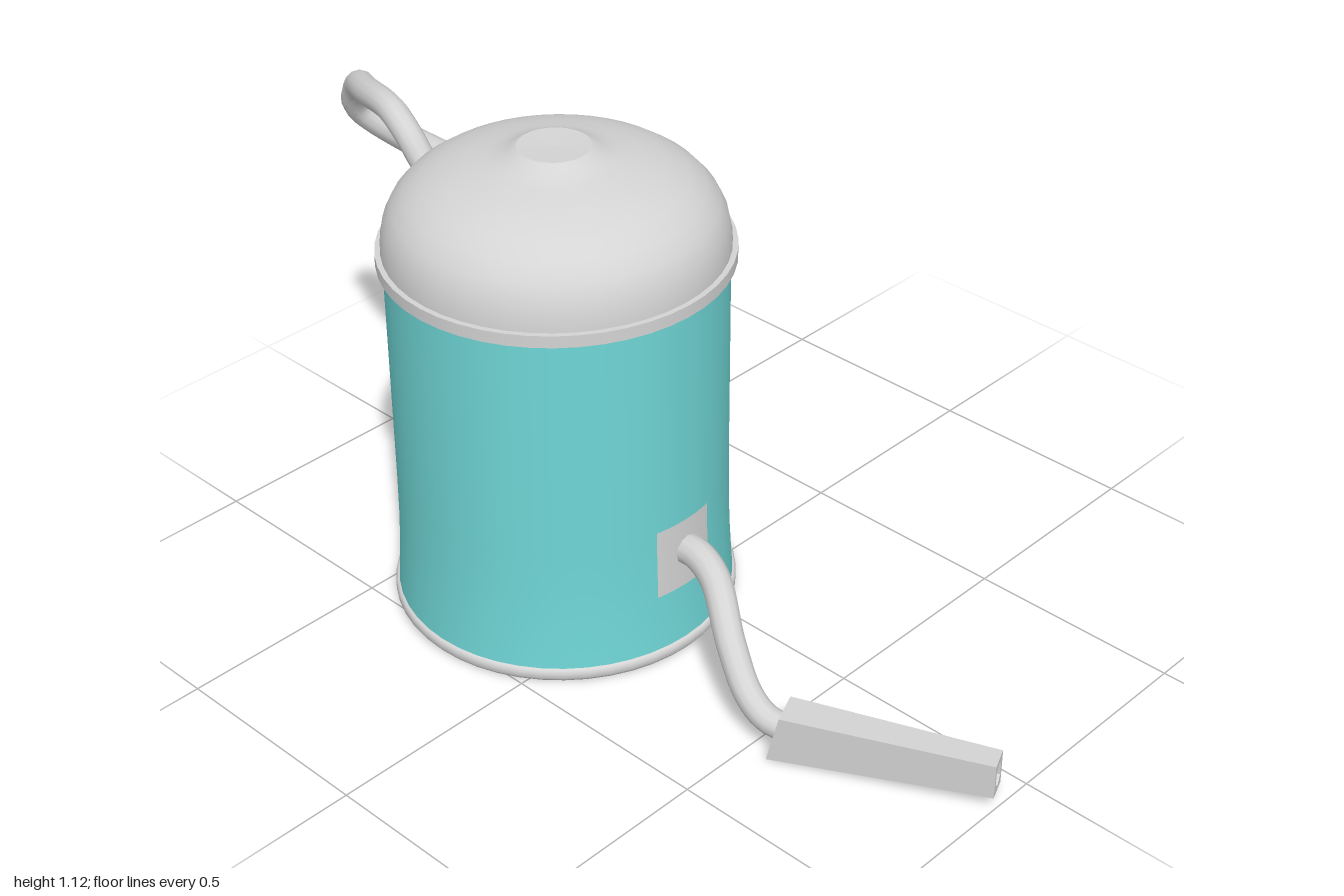
import * as THREE from 'three';

const CX = -0.21, CZ = 0.157; // axis of the canister

const grey = new THREE.MeshStandardMaterial({ color: 0xd4d4d4 });
grey.name = 'light grey';
const teal = new THREE.MeshStandardMaterial({ color: 0x70d6d6 });
teal.name = 'turquoise';

function add(group, name, geometry, material) {
  const mesh = new THREE.Mesh(geometry, material);
  mesh.name = name;
  group.add(mesh);
  return mesh;
}

// profile as [radius, height] pairs, from bottom to top
function lathe(profile) {
  return new THREE.LatheGeometry(profile.map(p => new THREE.Vector2(...p)), 48);
}

// smooth pipe through points, its radius given by a function of 0..1 along it
function pipe(points, steps, radius) {
  const curve = new THREE.CatmullRomCurve3(points.map(p => new THREE.Vector3(...p)));
  const sides = 12;
  const geo = new THREE.TubeGeometry(curve, steps, 1, sides);
  const pos = geo.attributes.position, nor = geo.attributes.normal;
  for (let i = 0; i < pos.count; i++) {
    const k = radius(Math.floor(i / (sides + 1)) / steps) - 1;
    pos.setXYZ(i, pos.getX(i) + nor.getX(i) * k, pos.getY(i) + nor.getY(i) * k, pos.getZ(i) + nor.getZ(i) * k);
  }
  return geo;
}

// tapered square nozzle with a hexagonal bore and a slanted rear face
function nozzleGeometry() {
  const shape = new THREE.Shape([[-1, -1], [1, -1], [1, 1], [-1, 1]].map(p => new THREE.Vector2(...p)));
  const bore = [];
  for (let i = 0; i < 6; i++) {
    const a = Math.PI / 2 - i * Math.PI / 3;
    bore.push(new THREE.Vector2(0.78 * Math.cos(a), 0.72 * Math.sin(a)));
  }
  shape.holes.push(new THREE.Path(bore));
  const geo = new THREE.ExtrudeGeometry(shape, { depth: 1, bevelEnabled: false });
  const pos = geo.attributes.position;
  const lerp = THREE.MathUtils.lerp;
  for (let i = 0; i < pos.count; i++) {
    const t = pos.getZ(i);
    const side = pos.getX(i) * lerp(0.04, 0.028, t);
    const along = t * 0.475 + (1 - t) * pos.getY(i) * 0.013;
    const y = lerp(0.061, 0.075, t) + pos.getY(i) * lerp(0.058, 0.042, t);
    pos.setXYZ(i, 0.553 + along * 0.917 - side * 0.399, y, 0.278 - along * 0.399 - side * 0.917);
  }
  geo.computeVertexNormals();
  return geo;
}

export function createModel() {
  const model = new THREE.Group();
  model.name = 'canister';

  // canister with its rims and domed lid
  const can = new THREE.Group();
  can.name = 'body';
  can.position.set(CX, 0, CZ);
  model.add(can);
  add(can, 'bodyWall', lathe([[0.384, 0.03], [0.381, 0.07], [0.377, 0.14], [0.374, 0.22], [0.373, 0.32], [0.373, 0.87]]), teal);
  add(can, 'baseRim', lathe([[0.378, 0], [0.386, 0.003], [0.392, 0.012], [0.392, 0.024], [0.388, 0.032], [0.378, 0.035]]), grey);
  const base = add(can, 'basePlate', new THREE.CircleGeometry(0.379, 48), grey);
  base.rotation.x = Math.PI / 2;
  const band = add(can, 'lidBand', new THREE.CylinderGeometry(0.388, 0.388, 0.028, 48), grey);
  band.position.y = 0.876;
  add(can, 'domeLid', lathe([
    [0.376, 0.885], [0.375, 0.915], [0.367, 0.955], [0.35, 0.99], [0.322, 1.022], [0.286, 1.047],
    [0.24, 1.068], [0.19, 1.082], [0.145, 1.092], [0.115, 1.1], [0.098, 1.111], [0.08, 1.12]]), grey);
  add(can, 'lidTop', lathe([[0.08, 1.12], [0.06, 1.119], [0, 1.117]]), grey);

  // curved pads where the pipes meet the wall
  [['sidePad', Math.PI / 2], ['backPad', Math.PI + 0.16]].forEach(([name, angle]) => {
    const pad = add(can, name, new THREE.CylinderGeometry(0.377, 0.381, 0.17, 8, 1, true, angle - 0.21, 0.42), grey);
    pad.position.y = 0.26;
  });

  // looping pipe from the lid round to the back
  add(model, 'loopPipe', pipe([
    [-0.5, 0.94, 0.225], [-0.545, 0.985, 0.23], [-0.59, 1.035, 0.23], [-0.66, 1.066, 0.215], [-0.8, 1.045, 0.165],
    [-0.92, 0.995, 0.095], [-0.965, 0.92, 0.065], [-0.92, 0.845, 0.0], [-0.72, 0.655, -0.24],
    [-0.53, 0.505, -0.46], [-0.45, 0.445, -0.515], [-0.385, 0.38, -0.465], [-0.325, 0.295, -0.33],
    [-0.285, 0.24, -0.23], [-0.275, 0.225, -0.19]], 90,
  t => 0.03 + 0.009 * Math.min(1, t * 1.4) + 0.01 * Math.max(0, (t - 0.9) * 10)), grey);

  // short hose and its nozzle
  add(model, 'hose', pipe([
    [0.13, 0.26, 0.148], [0.2, 0.265, 0.15], [0.27, 0.245, 0.17], [0.38, 0.165, 0.237],
    [0.47, 0.1, 0.277], [0.53, 0.072, 0.281], [0.6, 0.063, 0.258]], 40,
  t => 0.036 - 0.006 * t), grey);
  add(model, 'nozzle', nozzleGeometry(), grey);

  return model;
}
